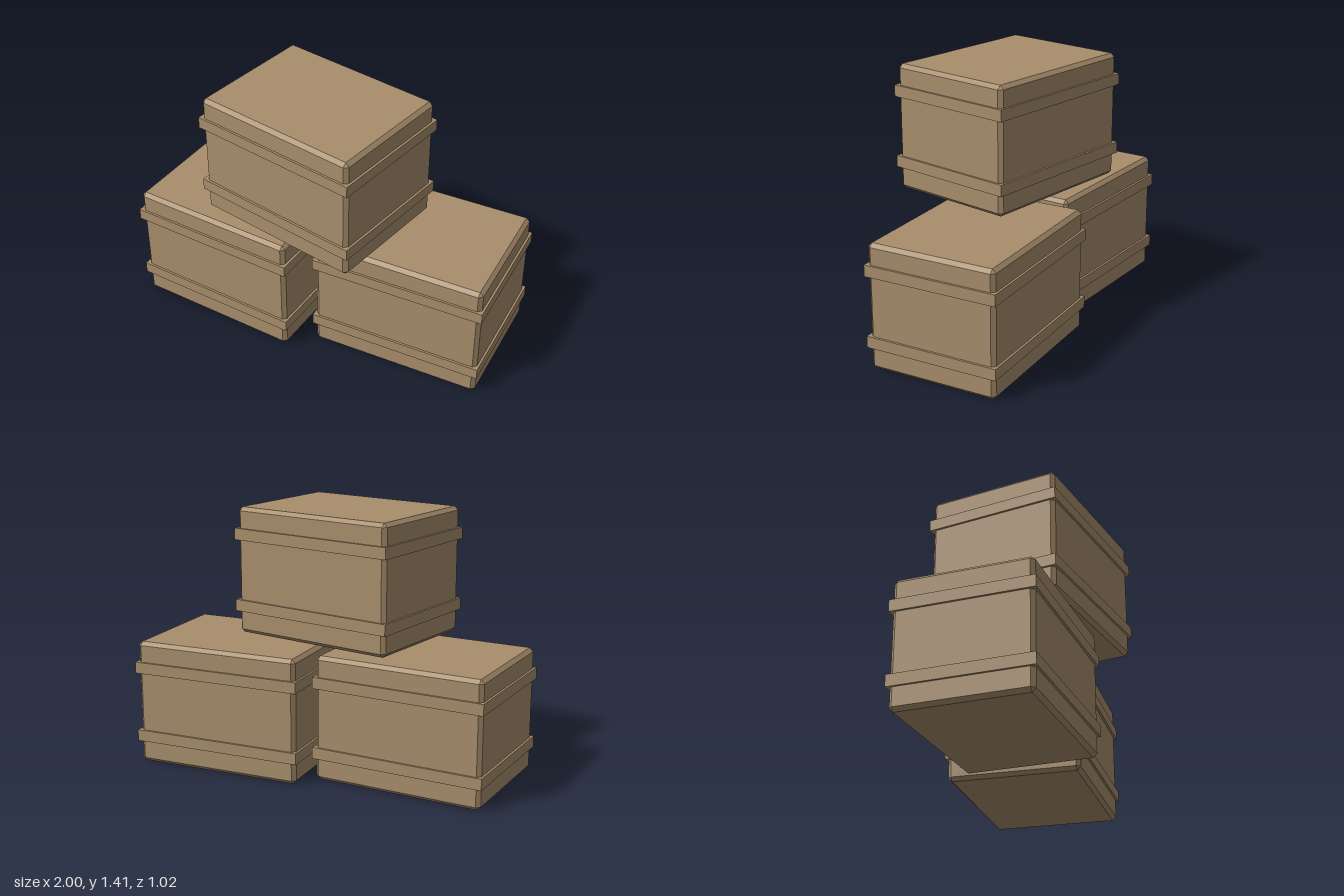
import * as THREE from 'three';
import { ConvexGeometry } from 'three/addons/geometries/ConvexGeometry.js';

const W = 0.935, H = 0.68, D = 0.716; // crate body
const BEVEL = 0.02;
const OVERHANG = 0.012, BAND_H = 0.062; // bands around the body

// Box with every edge chamfered: each corner is cut into three points
function chamferedBox(w, h, d, c) {
  const points = [];
  for (const sx of [-1, 1]) for (const sy of [-1, 1]) for (const sz of [-1, 1]) {
    const x = w / 2, y = h / 2, z = d / 2;
    points.push(
      new THREE.Vector3(sx * x, sy * (y - c), sz * (z - c)),
      new THREE.Vector3(sx * (x - c), sy * y, sz * (z - c)),
      new THREE.Vector3(sx * (x - c), sy * (y - c), sz * z)
    );
  }
  return new ConvexGeometry(points);
}

export function createModel() {
  const model = new THREE.Group();
  model.name = 'crateStack';

  const cardboard = new THREE.MeshStandardMaterial({ color: 0xa88e6c });
  cardboard.name = 'tan';

  const bodyGeometry = chamferedBox(W, H, D, BEVEL);
  const bandGeometry = new THREE.BoxGeometry(W + 2 * OVERHANG, BAND_H, D + 2 * OVERHANG);

  function addCrate(name, x, y, z, degrees) {
    const crate = new THREE.Group();
    crate.name = name;

    const body = new THREE.Mesh(bodyGeometry, cardboard);
    body.name = 'body';
    body.position.y = H / 2;
    crate.add(body);

    // Lower and upper bands
    for (const [bandName, height] of [['lowerBand', 0.15], ['upperBand', 0.536]]) {
      const band = new THREE.Mesh(bandGeometry, cardboard);
      band.name = bandName;
      band.position.y = height;
      crate.add(band);
    }

    crate.position.set(x, y, z);
    crate.rotation.y = THREE.MathUtils.degToRad(degrees);
    model.add(crate);
  }

  addCrate('rightCrate', -0.522, 0, 0.073, 0);
  addCrate('leftCrate', 0.492, 0, -0.1, 5);
  addCrate('topCrate', -0.053, 0.73, 0.085, -7);

  return model;
}
